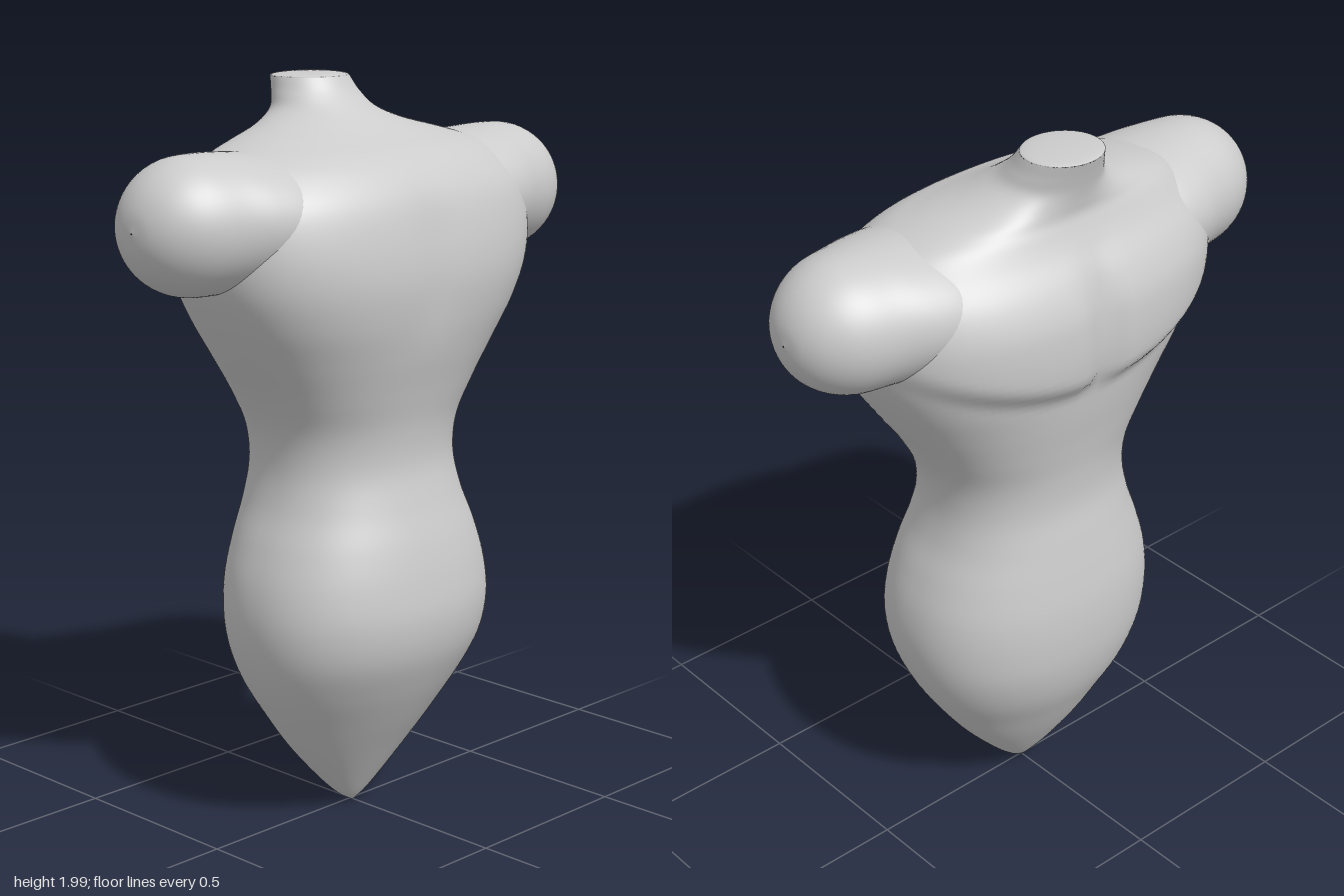
import * as THREE from 'three';

const material = new THREE.MeshStandardMaterial({ color: 0xcccccc });

// Closed rings of points joined into one smooth skin
function loft(name, rows, cols, point) {
  const pos = [], index = [];
  for (let i = 0; i <= rows; i++) {
    for (let j = 0; j < cols; j++) pos.push(...point(i / rows, (j / cols) * Math.PI * 2));
  }
  for (let i = 0; i < rows; i++) {
    for (let j = 0; j < cols; j++) {
      const k = (j + 1) % cols;
      const a = i * cols + j, b = i * cols + k, c = a + cols, d = b + cols;
      index.push(a, c, b, b, c, d);
    }
  }
  const geometry = new THREE.BufferGeometry();
  geometry.setAttribute('position', new THREE.Float32BufferAttribute(pos, 3));
  geometry.setIndex(index);
  geometry.computeVertexNormals();
  const mesh = new THREE.Mesh(geometry, material);
  mesh.name = name;
  return mesh;
}

const spline = (pts) => new THREE.CatmullRomCurve3(pts.map((p) => new THREE.Vector3(...p)), false, 'catmullrom', 0.5);
const smooth = THREE.MathUtils.smoothstep;

// Torso sections: height, half width, front z, back z, squareness
const sections = [
  [0.01, 0.004, 0.01, -0.004, 2],
  [0.04, 0.05, 0.035, -0.03, 2],
  [0.1, 0.112, 0.075, -0.075, 2],
  [0.2, 0.2, 0.14, -0.14, 2],
  [0.3, 0.272, 0.205, -0.195, 2],
  [0.4, 0.332, 0.263, -0.243, 2.1],
  [0.5, 0.37, 0.308, -0.27, 2.2],
  [0.6, 0.385, 0.325, -0.28, 2.2],
  [0.7, 0.376, 0.316, -0.278, 2.2],
  [0.8, 0.346, 0.295, -0.265, 2.2],
  [0.9, 0.308, 0.265, -0.248, 2.2],
  [1.0, 0.29, 0.242, -0.232, 2.2],
  [1.1, 0.303, 0.247, -0.236, 2.2],
  [1.2, 0.352, 0.27, -0.252, 2.3],
  [1.3, 0.42, 0.298, -0.272, 2.3],
  [1.4, 0.484, 0.32, -0.288, 2.4],
  [1.5, 0.535, 0.331, -0.3, 2.4],
  [1.6, 0.555, 0.322, -0.297, 2.4],
  [1.7, 0.54, 0.295, -0.28, 2.4],
  [1.77, 0.49, 0.25, -0.25, 2.3],
  [1.815, 0.43, 0.195, -0.23, 2.2],
  [1.845, 0.34, 0.13, -0.22, 2.1],
  [1.875, 0.23, 0.075, -0.222, 2],
  [1.91, 0.15, 0.025, -0.228, 2],
  [1.95, 0.123, -0.02, -0.238, 2],
  [1.99, 0.108, -0.05, -0.25, 2],
];
const frontCurve = spline(sections.map(([y, w, f]) => [w, y, f]));
const backCurve = spline(sections.map(([y, , , b, n]) => [n, y, b]));

function torsoPoint(t, angle) {
  const { x: w, y, z: front } = frontCurve.getPoint(t);
  const { x: n, z: back } = backCurve.getPoint(t);
  const c = Math.cos(angle), s = Math.sin(angle);
  const x = w * Math.sign(c) * Math.abs(c) ** (2 / n);
  const depth = Math.sign(s) * Math.abs(s) ** (2 / n);
  let z = (front + back) / 2 + ((front - back) / 2) * depth;
  if (depth < 0) {
    // Shoulder blades with a curved lower edge, parted by the spine groove
    const edge = 1.37 + 0.5 * x * x;
    const blade = smooth(y, edge, edge + 0.07) * (1 - smooth(y, 1.6, 1.8));
    const groove = Math.exp(-((x / 0.04) ** 2));
    z -= blade * -depth * (0.034 - 0.03 * groove);
  } else {
    // Faint centre line on the chest
    z -= 0.009 * Math.exp(-((x / 0.07) ** 2)) * smooth(y, 1.3, 1.5) * (1 - smooth(y, 1.6, 1.8));
  }
  return [x, y, z];
}

// Shoulder sections: x, vertical radius, depth radius
const shoulderCurve = spline([
  [0.28, 0.15, 0.22], [0.36, 0.166, 0.235], [0.45, 0.173, 0.222], [0.53, 0.176, 0.197],
  [0.6, 0.172, 0.178], [0.65, 0.155, 0.157], [0.69, 0.128, 0.128],
  [0.72, 0.093, 0.093], [0.74, 0.05, 0.05], [0.747, 0.002, 0.002],
]);

export function createModel() {
  const group = new THREE.Group();
  group.name = 'torsoForm';
  group.add(loft('torso', 130, 128, torsoPoint));

  for (const side of [1, -1]) {
    group.add(loft(side > 0 ? 'leftShoulder' : 'rightShoulder', 48, 64, (t, a) => {
      const p = shoulderCurve.getPoint(t);
      return [side * p.x, 1.663 + p.y * Math.sin(side * a), p.z * Math.cos(side * a)];
    }));
  }

  // Slightly domed cut at the top of the neck
  const cap = new THREE.Mesh(new THREE.SphereGeometry(1, 48, 8, 0, Math.PI * 2, 0, Math.PI / 2), material);
  cap.name = 'neckTop';
  cap.scale.set(0.108, 0.01, 0.1);
  cap.position.set(0, 1.99, -0.15);
  group.add(cap);
  return group;
}
